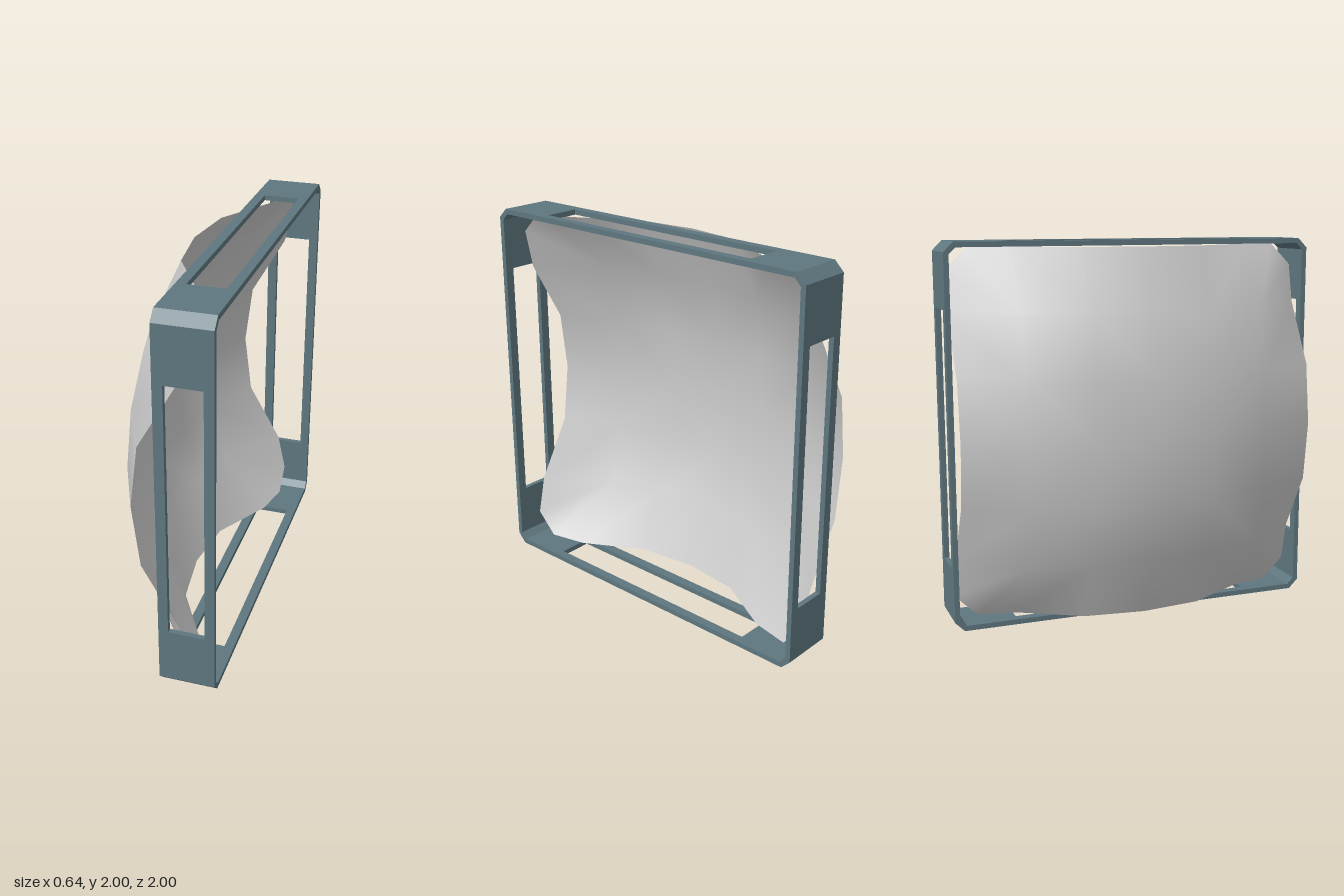
import * as THREE from 'three';

export function createModel() {
  const model = new THREE.Group();
  const frameMat = new THREE.MeshStandardMaterial({ name: 'slate frame', color: 0x5f777f });
  const sheetMat = new THREE.MeshStandardMaterial({ name: 'light grey sheet', color: 0xcccccc, side: THREE.DoubleSide });

  // Square frame: chamfered band running along x
  const T = 0.027, C = 0.05, R = 1, I = R - T, W = 0.665;
  const octagon = (r, c) => [
    [r, -r + c], [r, r - c], [r - c, r], [-r + c, r],
    [-r, r - c], [-r, -r + c], [-r + c, -r], [r - c, -r],
  ].map(([a, b]) => new THREE.Vector2(a, b));
  const innerC = C - T * 0.6;

  const slab = (shape, x0, x1, name) => {
    const geo = new THREE.ExtrudeGeometry(shape, { depth: x1 - x0, bevelEnabled: false });
    geo.rotateY(Math.PI / 2);
    const mesh = new THREE.Mesh(geo, frameMat);
    mesh.position.x = x0;
    mesh.name = name;
    return mesh;
  };

  const frame = new THREE.Group();
  frame.name = 'frame';
  frame.position.y = 1;
  const ring = new THREE.Shape(octagon(R, C));
  ring.holes.push(new THREE.Path(octagon(I, innerC).reverse()));
  frame.add(slab(ring, 0.035, 0.085, 'rearRim'), slab(ring, 0.27, 0.318, 'frontRim'));

  // Corner brackets leave a long window in every side
  const bracket = new THREE.Shape([
    [R, W], [R, R - C], [R - C, R], [W, R],
    [W, I], [I - innerC, I], [I, I - innerC], [I, W],
  ].map(([a, b]) => new THREE.Vector2(a, b)));
  for (let k = 0; k < 4; k++) {
    const corner = slab(bracket, 0.085, 0.27, 'cornerBracket');
    corner.rotation.x = k * Math.PI / 2;
    frame.add(corner);
  }
  model.add(frame);

  // Bulging sheet: depth by distance from the centre in both directions
  const steps = [0, 0.323, 0.647, 0.97];
  const depth = [
    [-0.32, -0.30, -0.235, -0.095],
    [-0.30, -0.28, -0.205, -0.055],
    [-0.235, -0.205, -0.13, 0.13],
    [-0.095, -0.055, 0.13, 0.2],
  ];
  const pos = [], index = [], ids = new Map();
  const vertex = (x, y, z) => {
    const key = [x, y, z].map(v => v.toFixed(4)).join();
    if (!ids.has(key)) {
      ids.set(key, pos.length / 3);
      pos.push(x, y, z);
    }
    return ids.get(key);
  };
  const grid = (i, j) => [
    depth[Math.abs(i)][Math.abs(j)],
    Math.sign(i) * steps[Math.abs(i)],
    Math.sign(j) * steps[Math.abs(j)],
  ];
  const isCorner = ([i, j]) => Math.abs(i) === 3 && Math.abs(j) === 3;

  for (let i = -3; i < 3; i++) for (let j = -3; j < 3; j++) {
    let cell = [[i, j], [i + 1, j], [i + 1, j + 1], [i, j + 1]];
    // start each fan at the vertex nearest the centre, so diagonals mirror
    const near = cell.reduce((b, c, k) =>
      Math.hypot(...c) < Math.hypot(...cell[b]) ? k : b, 0);
    cell = [...cell.slice(near), ...cell.slice(0, near)];
    const poly = [];
    cell.forEach((c, k) => {
      if (!isCorner(c)) { poly.push(vertex(...grid(...c))); return; }
      // snip the sheet's outer corners
      for (const n of [cell[(k + 3) % 4], cell[(k + 1) % 4]]) {
        const a = grid(...c), b = grid(...n);
        poly.push(vertex(0.175, a[1] + (b[1] - a[1]) * 0.36, a[2] + (b[2] - a[2]) * 0.36));
      }
    });
    for (let k = 1; k < poly.length - 1; k++) index.push(poly[0], poly[k], poly[k + 1]);
  }
  const sheetGeo = new THREE.BufferGeometry();
  sheetGeo.setAttribute('position', new THREE.Float32BufferAttribute(pos, 3));
  sheetGeo.setIndex(index);
  sheetGeo.computeVertexNormals();
  const sheet = new THREE.Mesh(sheetGeo, sheetMat);
  sheet.name = 'bulgingSheet';
  sheet.position.y = 1;
  model.add(sheet);

  return model;
}
